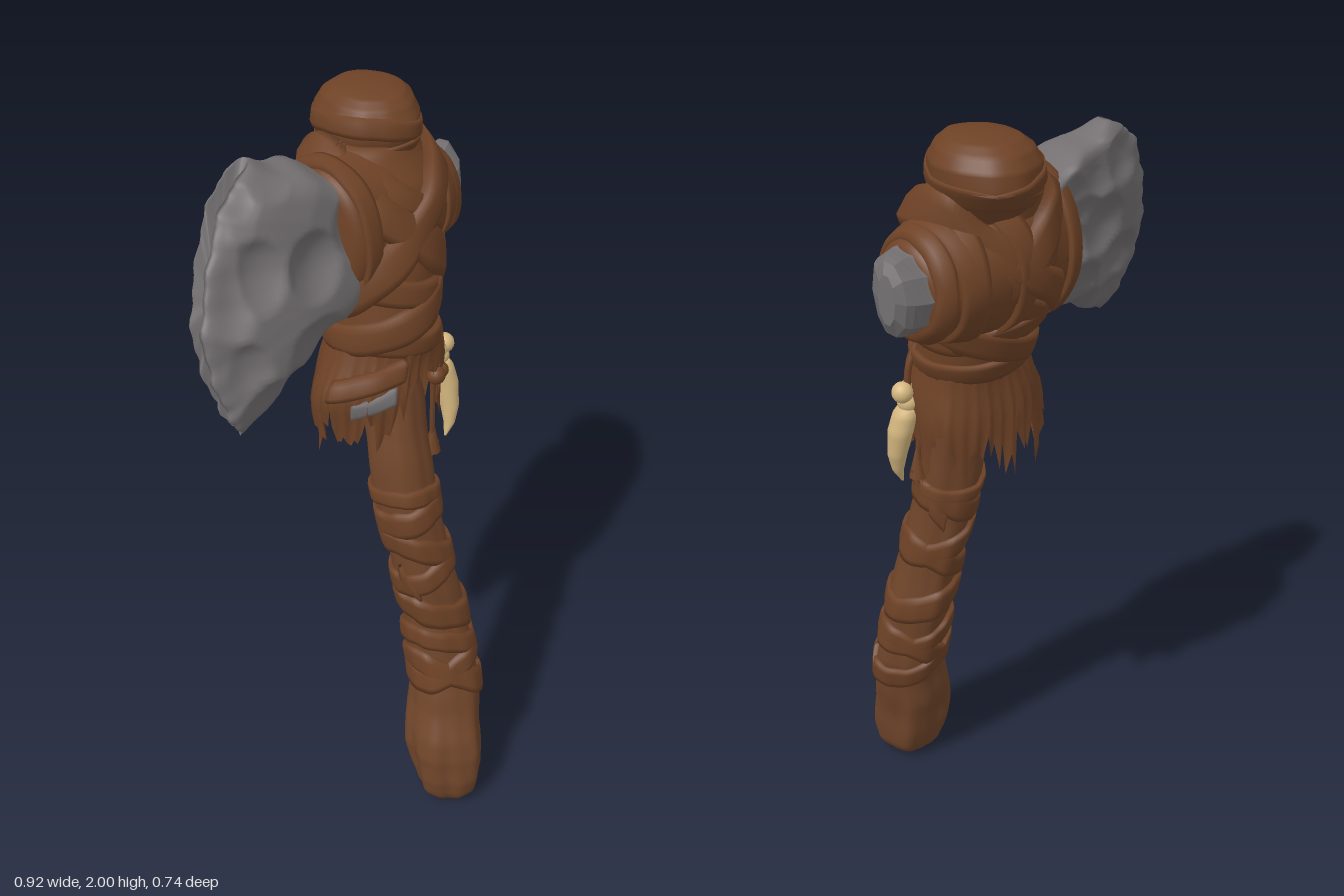
import * as THREE from 'three';
import { mergeVertices } from 'three/addons/utils/BufferGeometryUtils.js';

const mat = (name, color) => Object.assign(new THREE.MeshStandardMaterial({ color }), { name });
const V = (x, y, z) => new THREE.Vector3(x, y, z);
const lerp = THREE.MathUtils.lerp;
const range = (n, f) => Array.from({ length: n }, (_, i) => f(i));

// small seeded random and a smooth bump field
function seeded(seed) {
  return () => (seed = (seed * 16807) % 2147483647) / 2147483647;
}
const bump = (x, y, z) =>
  (Math.sin(23 * x + 9 * y + 4) + Math.sin(19 * z - 13 * y + 1) + Math.sin(31 * y + 17 * x - 21 * z)) / 3;

// skin through closed rings of points
function loft(rings, caps = true) {
  const n = rings[0].length, pos = [], idx = [];
  rings.forEach(r => r.forEach(p => pos.push(p.x, p.y, p.z)));
  for (let i = 0; i < rings.length - 1; i++) for (let j = 0; j < n; j++) {
    const a = i * n + j, b = i * n + (j + 1) % n;
    idx.push(a, a + n, b, b, a + n, b + n);
  }
  if (caps) [0, rings.length - 1].forEach((i, end) => {
    const c = V(0, 0, 0), k = pos.length / 3;
    rings[i].forEach(p => c.addScaledVector(p, 1 / n));
    pos.push(c.x, c.y, c.z);
    for (let j = 0; j < n; j++) {
      const a = i * n + j, b = i * n + (j + 1) % n;
      end ? idx.push(k, b, a) : idx.push(k, a, b);
    }
  });
  let g = new THREE.BufferGeometry();
  g.setAttribute('position', new THREE.Float32BufferAttribute(pos, 3));
  g.setIndex(idx);
  g = mergeVertices(g, 1e-5);
  g.computeVertexNormals();
  return g;
}

// interpolate rows [height, centre, centre, radius, radius]
function sample(rows, p) {
  let i = 0;
  while (i < rows.length - 2 && p > rows[i + 1][0]) i++;
  const t = THREE.MathUtils.clamp((p - rows[i][0]) / (rows[i + 1][0] - rows[i][0]), 0, 1);
  return rows[i].map((v, k) => lerp(v, rows[i + 1][k], t));
}

// upright surface: height y, angle a, outward offset o; grain(y) is the depth of the grooves
const upright = (rows, rough = 0, grain = () => 0) => (y, a, o = 0) => {
  const [, cx, cz, rx, rz] = sample(rows, y), c = Math.cos(a), s = Math.sin(a);
  const k = 1 + grain(y) * (Math.sin(5 * a + 4 * y) + 0.4 * Math.sin(11 * a - 3 * y))
    + rough * bump(cx + rx * c, y, cz + rz * s);
  return V(cx + (rx * k + o) * c, y, cz + (rz * k + o) * s);
};
// surface around the slanted head axis: rows [x, centre y, centre z, radius y, radius z]
const around = (rows, rough) => (x, a, o = 0) => {
  const [, cy, cz, ry, rz] = sample(rows, x);
  const k = 1 + rough * bump(x, ry * Math.sin(a), rz * Math.cos(a)), dz = (rz * k + o) * Math.cos(a);
  return V(x + .18 * dz, cy + (ry * k + o) * Math.sin(a), cz + dz);
};
const solid = (surf, p0, p1, n, seg) =>
  loft(range(n + 1, i => range(seg, j => surf(lerp(p0, p1, i / n), j / seg * Math.PI * 2))));

// rounded strap lying on a surface, following pOf(angle)
function strap(surf, pOf, w, t, a0 = 0, a1 = Math.PI * 2, n = 72) {
  const closed = a1 - a0 > 6.28;
  const prof = [[0.5, -0.02], [0.48, t * 0.75], [0.25, t], [-0.25, t], [-0.48, t * 0.75], [-0.5, -0.02]];
  return loft(range(n + 1, i => {
    const a = lerp(a0, a1, i / n), b = closed && i === n ? a0 : a, p = pOf(b);
    const fray = 1 + 0.06 * Math.sin(3 * b + p * 40) + 0.03 * Math.sin(8 * b);
    return prof.map(([v, o]) => surf(p + v * w * fray, b, o));
  }), !closed);
}

const HANDLE = [
  [0, .12, .27, .03, .03], [.01, .12, .27, .07, .07], [.04, .12, .268, .09, .09], [.1, .118, .264, .102, .104],
  [.18, .12, .25, .108, .112], [.24, .128, .233, .105, .112], [.32, .146, .208, .097, .102], [.4, .157, .187, .095, .097],
  [.6, .148, .142, .085, .088], [.8, .115, .108, .081, .085], [1, .09, .07, .08, .085], [1.2, .09, .018, .08, .085],
  [1.45, .11, -.06, .09, .09]];
const WRAP = [
  [1.37, .1, -.055, .125, .128], [1.42, .11, -.065, .138, .138], [1.5, .11, -.085, .14, .148], [1.6, .115, -.122, .16, .168],
  [1.7, .132, -.148, .168, .168], [1.8, .135, -.15, .165, .138], [1.86, .14, -.178, .14, .118], [1.89, .16, -.195, .115, .115]];
const KNOB = [
  [1.8, .16, -.185, .09, .09], [1.85, .165, -.205, .108, .122], [1.9, .17, -.215, .124, .145], [1.94, .17, -.212, .123, .141],
  [1.97, .17, -.21, .106, .122], [1.99, .172, -.208, .08, .094], [2, .175, -.205, .04, .045]];
const SKIRT = [[1.05, .085, -.055, .155, .115], [1.3, .088, -.05, .165, .143], [1.45, .11, -.06, .138, .135]];
const BARREL = [
  [-.055, 1.7, -.11, .15, .12], [-.035, 1.7, -.115, .182, .145], [.1, 1.7, -.15, .185, .16], [.2, 1.695, -.175, .168, .155],
  [.28, 1.685, -.198, .14, .13], [.36, 1.675, -.212, .115, .105], [.385, 1.675, -.215, .09, .08]];
const POLL = [
  [.3, 1.68, -.21, .1, .09], [.385, 1.675, -.215, .095, .088], [.42, 1.68, -.235, .092, .068],
  [.445, 1.685, -.255, .082, .045], [.457, 1.69, -.265, .055, .025]];
const TOOTH = [
  [1.065, .264, .018, .003, .004], [1.1, .278, .015, .014, .016], [1.15, .284, .006, .024, .027],
  [1.22, .281, -.008, .031, .035], [1.27, .27, -.016, .031, .034], [1.29, .266, -.018, .022, .024]];

// knapped stone blade: chipped front and back meeting at a blunt rim
function bladeGeometry() {
  const rnd = seeded(77), N = 56, S = 48;
  const edge = new THREE.CatmullRomCurve3([
    V(-.39, 1.36, 0), V(-.435, 1.47, 0), V(-.457, 1.62, 0), V(-.4, 1.78, 0), V(-.31, 1.905, 0), V(-.22, 1.94, 0)]);
  const chips = [1, -1].map(() => range(24, () => [lerp(-.48, .02, rnd()), lerp(1.34, 1.96, rnd())]));
  const point = (s, t, side) => {
    const e = edge.getPoint(t), across = 2 * t - 1;
    const x = lerp(e.x + .004 * Math.sin(t * 41) + .003 * Math.sin(t * 83), .06, s);
    const y = lerp(e.y, lerp(1.57, 1.83, t), s) + .006 * Math.sin(x * 47) * Math.abs(across);
    const rim = Math.sqrt(Math.max(0, 1 - Math.pow(Math.abs(across), across > 0 ? 10 : 5)));
    const d2 = Math.min(...chips[side > 0 ? 0 : 1].map(([a, b]) => (a - x) ** 2 + (b - y) ** 2));
    const half = (.02 + Math.min(.066, .088 * Math.pow(s, .45)) + Math.min(.025, d2 * 5 - .01) * Math.min(1, s * 6)) * rim;
    return V(x, y, -.12 - .25 * x - .25 * (y - 1.7) + side * half);
  };
  return loft(range(S + 1, i => [
    ...range(N + 1, j => point((i / S) ** 1.3, j / N, 1)),
    ...range(N - 1, j => point((i / S) ** 1.3, 1 - (j + 1) / N, -1))]));
}

export function createModel() {
  const model = new THREE.Group();
  model.name = 'stoneAxe';
  const wood = mat('wood', 0x70452a), leather = mat('leather', 0x6e4226);
  const stone = mat('stone', 0x747072), bone = mat('bone', 0xd6b880);
  const hide = mat('hide', 0x6e4226);
  hide.side = THREE.DoubleSide;
  const add = (name, geo, m) => {
    const mesh = new THREE.Mesh(geo, m);
    mesh.name = name;
    model.add(mesh);
    return mesh;
  };

  // handle with a lobed foot
  const handle = upright(HANDLE, .05, y => .028 + .04 * Math.exp(-(((y - .12) / .12) ** 2)));
  add('handle', solid(handle, 0, 1.45, 120, 56), wood);

  // grip straps: [height, tilt, direction, width]
  [[.41, .06, 2.9, .075], [.46, .05, .2, .07], [.52, .04, 2.6, .06], [.63, .025, 3.2, .085],
    [.77, .045, .3, .07], [.83, .04, 2.8, .075], [.95, .03, .4, .075], [1, .02, 2, .045]]
    .forEach(([y, tilt, dir, w]) =>
      add('gripStrap', strap(handle, a => y + tilt * Math.cos(a - dir), w, .013), leather));
  // torn strap ends
  [[.72, 2.4], [.35, .1], [.9, 5.2]].forEach(([y, a]) =>
    add('strapEnd', strap(handle, b => y + .09 * (b - a), .055, .014, a, a + .55, 8), leather));

  // stone head
  add('blade', bladeGeometry(), stone);
  const poll = add('poll', solid(around(POLL, .12), .3, .457, 9, 10).toNonIndexed(), stone);
  poll.geometry.computeVertexNormals();

  // leather binding around handle and head
  const wrap = upright(WRAP, .04), knob = upright(KNOB, .05, () => .015), barrel = around(BARREL, .03);
  add('binding', solid(wrap, 1.37, 1.89, 40, 60), leather);
  add('headBinding', solid(barrel, -.055, .385, 36, 56), leather);
  add('knob', solid(knob, 1.8, 2, 40, 56), leather);

  // crossed and level straps: [height, tilt, direction, width, thickness]
  [[1.7, .14, 0, .11, .03], [1.71, .14, Math.PI, .11, .029], [1.66, .12, .5, .07, .015], [1.73, .11, 2.6, .07, .015],
    [1.55, .05, 2.8, .07, .016], [1.49, .045, .2, .08, .02], [1.43, .025, 2.9, .06, .014]]
    .forEach(([y, tilt, dir, w, t]) =>
      add('bindingStrap', strap(wrap, a => y + tilt * Math.cos(a - dir), w, t), leather));
  [[1.87, .02, 0, .045], [1.905, .03, 2.4, .05]].forEach(([y, tilt, dir, w]) =>
    add('knobStrap', strap(knob, a => y + tilt * Math.cos(a - dir), w, .005), leather));
  [[-.015, .008, 0, .05], [.2, .05, .4, .06], [.26, .03, 3, .06], [.305, .012, 1, .05], [.35, .008, 4, .045]]
    .forEach(([x, tilt, dir, w]) =>
      add('headStrap', strap(barrel, a => x + tilt * Math.cos(a - dir), w, .012), leather));

  // ragged hide skirt, short at the front
  const skirt = upright(SKIRT, .08, () => .025), rnd = seeded(12), M = 96;
  const hem = range(M, j => {
    const a = j / M * Math.PI * 2;
    return 1.165 + .2 * Math.exp(-(((a - 1.2) / .55) ** 2)) + .035 * Math.sin(a * 9) + (j % 2 ? .03 : 0) + (rnd() - .5) * .08;
  });
  add('hideSkirt', loft(range(7, i => range(M, j =>
    skirt(lerp(hem[j], 1.44, i / 6), j / M * Math.PI * 2, (j % 3) * .006 * (1 - i / 6)))), false), hide);
  add('greyPatch', strap(skirt, a => 1.285 + .07 * (2.3 - a), .045, .01, 1.85, 2.55, 14), stone);
  add('skirtFold', strap(skirt, a => 1.355 + .05 * (2.3 - a), .06, .022, 1.75, 2.9, 18), leather);

  // hanging cords, beads and tooth
  const cord = (name, pts, r) => add(name,
    new THREE.TubeGeometry(new THREE.CatmullRomCurve3(pts.map(p => V(...p))), 16, r, 8), leather);
  cord('toothCord', [[.235, 1.45, -.02], [.26, 1.39, -.02], [.265, 1.27, -.02]], .009);
  cord('beadCord', [[.2, 1.45, .04], [.205, 1.38, .04], [.203, 1.27, .04]], .009);
  cord('tasselCord', [[.19, 1.42, .06], [.195, 1.27, .045], [.205, 1.1, .035]], .007);
  cord('sideCord', [[.22, 1.44, .01], [.235, 1.38, .02], [.237, 1.29, .02]], .008);
  const bead = (x, y, z, r, m) => add('bead', new THREE.SphereGeometry(r, 16, 12), m).position.set(x, y, z);
  bead(.28, 1.33, -.022, .027, bone);
  bead(.245, 1.33, -.005, .025, bone);
  bead(.264, 1.3, -.02, .027, bone);
  bead(.203, 1.295, .045, .025, leather);
  bead(.237, 1.285, .02, .022, leather);
  add('tooth', solid(upright(TOOTH), 1.065, 1.29, 24, 20), bone);
  const tassel = add('tassel', new THREE.ConeGeometry(.024, .1, 9), leather);
  tassel.position.set(.207, 1.1, .035);
  [-1, 0, 1].forEach(i => {
    const strand = add('tasselStrand', new THREE.ConeGeometry(.008, .05, 6), leather);
    strand.position.set(.207 + i * .013, 1.04 + .01 * Math.abs(i), .035);
    strand.rotation.x = Math.PI;
  });
  return model;
}
